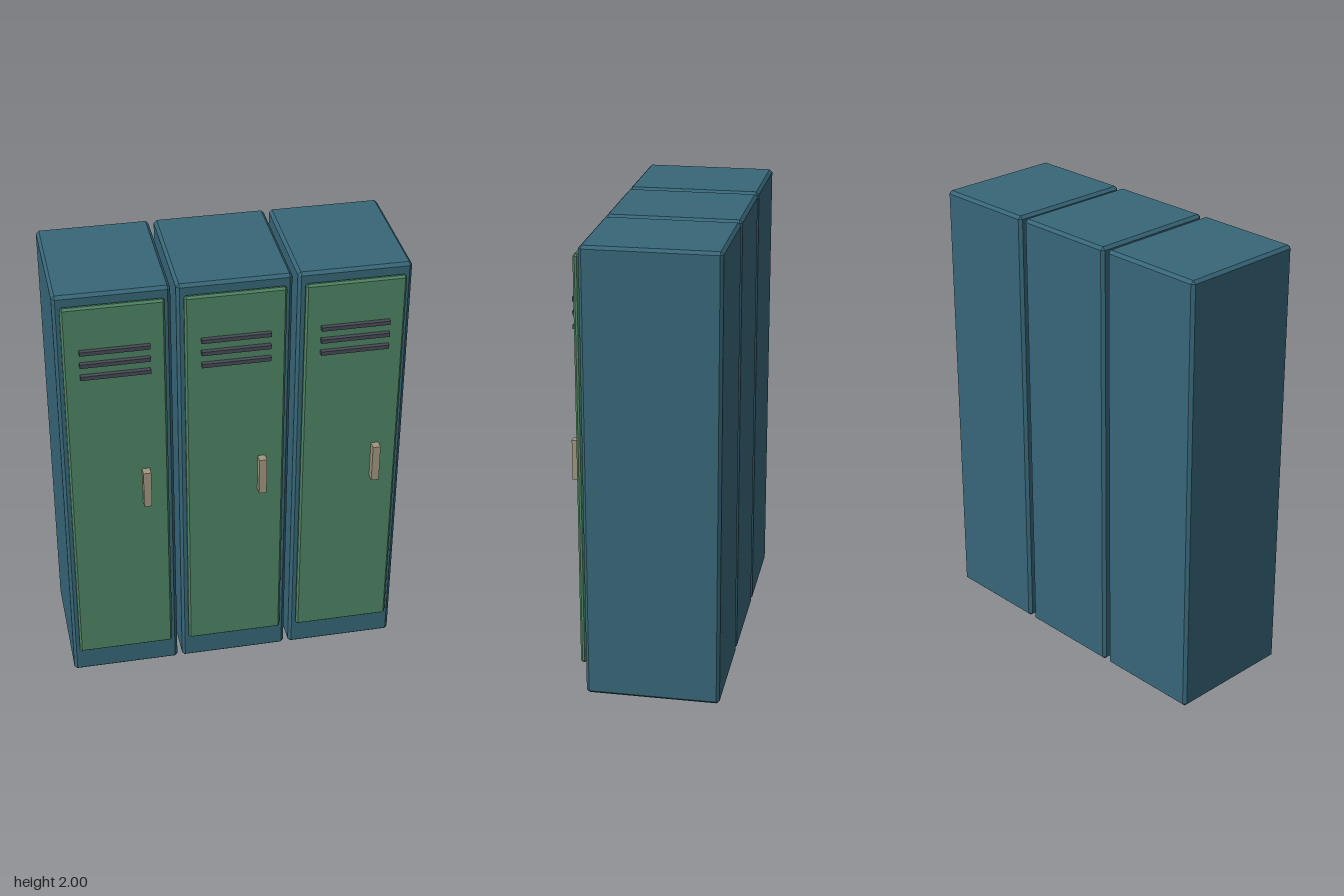
import * as THREE from 'three';
import { ConvexGeometry } from 'three/addons/geometries/ConvexGeometry.js';

// Box with every edge cut by a single flat chamfer c
function chamferBox(w, h, d, c) {
  const points = [];
  for (const sx of [-1, 1]) for (const sy of [-1, 1]) for (const sz of [-1, 1]) {
    const x = sx * w / 2, y = sy * h / 2, z = sz * d / 2;
    points.push(
      new THREE.Vector3(x, y - sy * c, z - sz * c),
      new THREE.Vector3(x - sx * c, y, z - sz * c),
      new THREE.Vector3(x - sx * c, y - sy * c, z)
    );
  }
  return new ConvexGeometry(points);
}

export function createModel() {
  const paint = color => new THREE.MeshStandardMaterial({ color, flatShading: true });
  const blue = paint(0x376678), green = paint(0x4e8262);
  const dark = paint(0x464a54), metal = paint(0xa0967f);

  const bodyGeo = chamferBox(0.485, 2, 0.583, 0.013);
  const doorGeo = chamferBox(0.429, 1.825, 0.027, 0.009);
  const slatGeo = new THREE.BoxGeometry(0.294, 0.018, 0.02);
  const handleGeo = new THREE.BoxGeometry(0.034, 0.177, 0.038);

  const model = new THREE.Group();
  model.name = 'lockers';

  for (let i = 0; i < 3; i++) {
    const locker = new THREE.Group();
    locker.name = `locker${i + 1}`;
    locker.position.x = (i - 1) * 0.5075;

    const add = (name, geometry, material, x, y, z) => {
      const mesh = new THREE.Mesh(geometry, material);
      mesh.name = name;
      mesh.position.set(x, y, z);
      locker.add(mesh);
    };

    add('body', bodyGeo, blue, 0, 1, -0.0335);
    add('door', doorGeo, green, 0, 1.044, 0.2735);
    // Three vent slats near the top of the door
    for (let j = 0; j < 3; j++) {
      add(`ventSlat${j + 1}`, slatGeo, dark, 0, 1.75 - j * 0.059, 0.297);
    }
    add('handle', handleGeo, metal, 0.115, 1.042, 0.306);

    model.add(locker);
  }
  return model;
}
